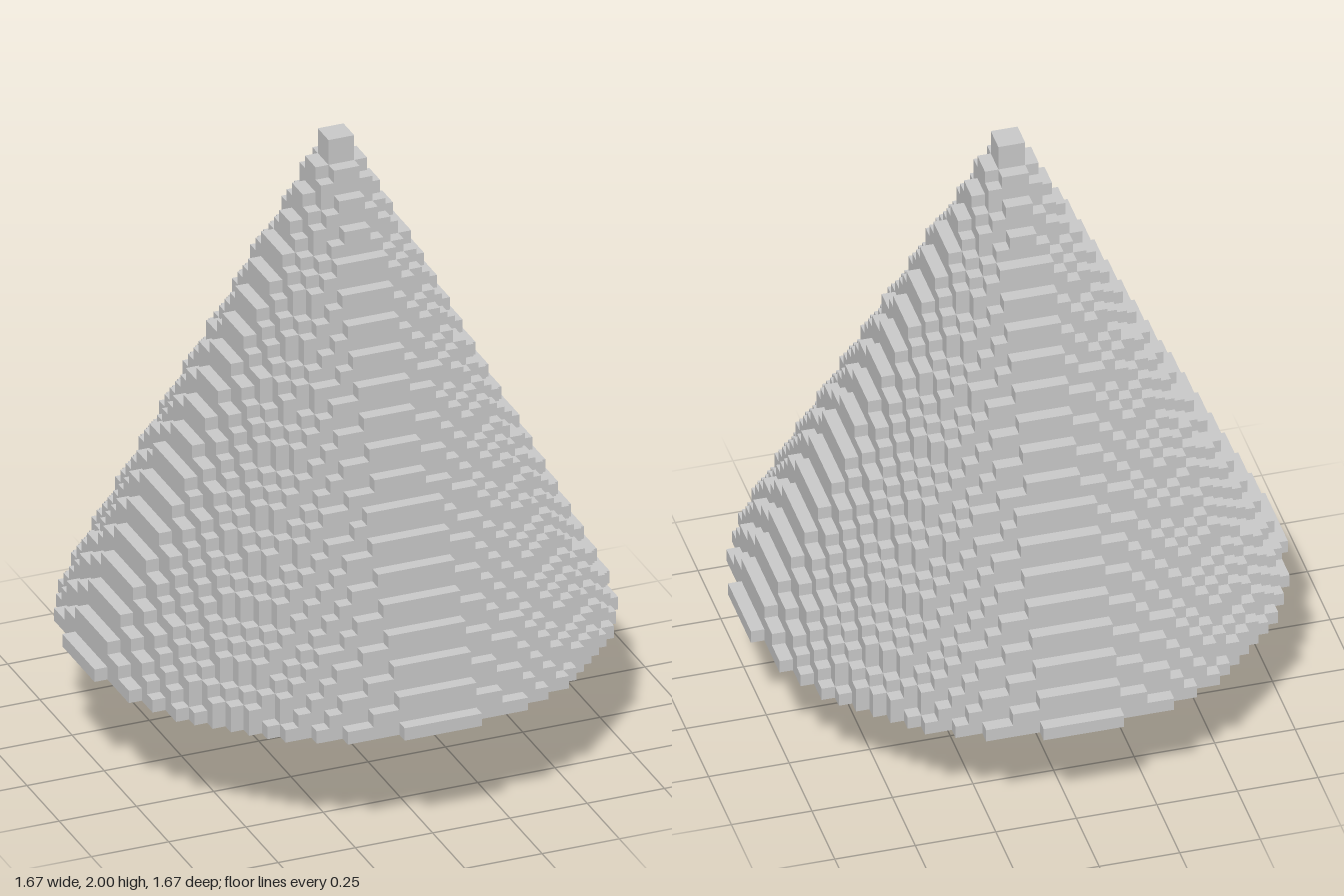
import * as THREE from 'three';
import { mergeGeometries } from 'three/addons/utils/BufferGeometryUtils.js';

const CELL = 2 / 48;      // edge of one voxel
const TRUNK_CELLS = 9;    // trunk height in voxels
const LAYERS = 39;        // foliage height in voxels

// Stair-stepped outline of a voxel disc: one quarter, turned four times.
function discShape(radius) {
  const n = Math.floor(Math.sqrt(radius * radius - 0.25) + 0.5);
  const rows = (i) => Math.floor(Math.sqrt(radius * radius - (i + 0.5) ** 2) + 0.5);
  const quarter = [[n, rows(n - 1)]];
  for (let i = n - 2; i >= 0; i--) {
    const here = rows(i), outer = rows(i + 1);
    if (here > outer) quarter.push([i + 1, outer], [i + 1, here]);
  }
  const points = [];
  for (let q = 0; q < 4; q++) {
    const c = [1, 0, -1, 0][q], s = [0, 1, 0, -1][q];
    for (const [x, y] of quarter) {
      points.push(new THREE.Vector2((c * x - s * y) * CELL, (s * x + c * y) * CELL));
    }
  }
  return new THREE.Shape(points);
}

export function createModel() {
  const model = new THREE.Group();
  model.name = 'voxelTree';
  const material = new THREE.MeshStandardMaterial({ color: 0xcccccc, flatShading: true });

  // Foliage: a cone of stacked voxel discs, losing half a voxel of radius per layer
  const discs = [];
  for (let j = 0; j < LAYERS; j++) {
    const disc = new THREE.ExtrudeGeometry(discShape(19.75 - j / 2), { depth: CELL, bevelEnabled: false });
    disc.rotateX(-Math.PI / 2);
    disc.translate(0, (TRUNK_CELLS + j) * CELL, 0);
    discs.push(disc);
  }
  const foliage = new THREE.Mesh(mergeGeometries(discs), material);
  foliage.name = 'foliage';
  model.add(foliage);

  // Trunk: a square post under the cone
  const height = TRUNK_CELLS * CELL;
  const trunk = new THREE.Mesh(new THREE.BoxGeometry(4 * CELL, height, 4 * CELL), material);
  trunk.name = 'trunk';
  trunk.position.y = height / 2;
  model.add(trunk);

  return model;
}
